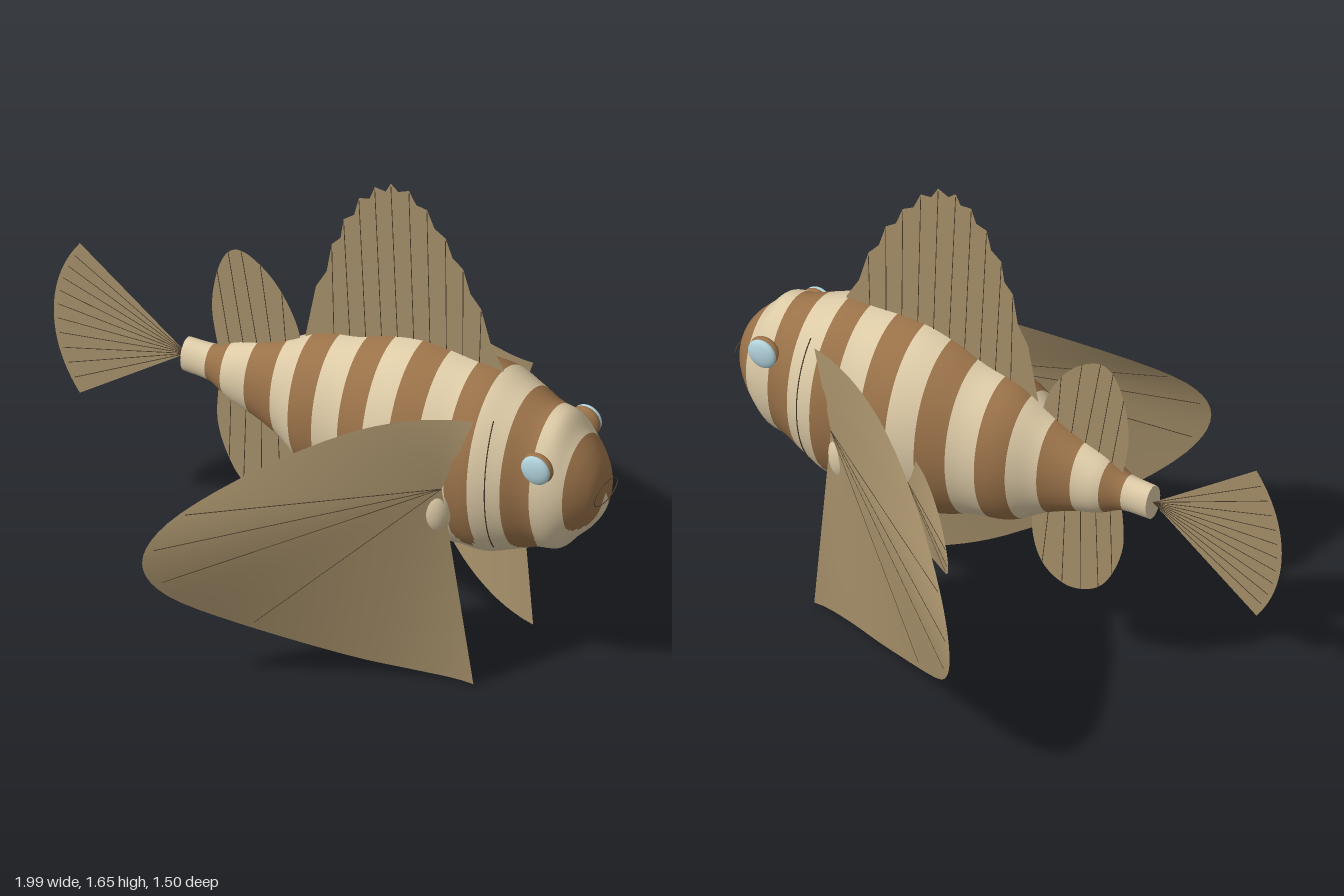
import * as THREE from 'three';

const mat = (name, color, side = THREE.FrontSide) => {
  const m = new THREE.MeshStandardMaterial({ color, side });
  m.name = name;
  return m;
};
const V = (x, y, z = 0) => new THREE.Vector3(x, y, z);
const V2 = (x, y) => new THREE.Vector2(x, y);

export function createModel() {
  const fish = new THREE.Group();
  fish.name = 'stripedFish';
  const cream = mat('cream', 0xdccaa6);
  const brown = mat('stripeBrown', 0x9a7249);
  const finMat = mat('finTan', 0xa6906a, THREE.DoubleSide);
  const dark = mat('darkLine', 0x4c3d2c);
  const blue = mat('eyeBlue', 0xb2d2dc);

  const add = (name, geo, material, parent = fish) => {
    const m = new THREE.Mesh(geo, material);
    m.name = name;
    parent.add(m);
    return m;
  };
  const group = (name, parent = fish) => {
    const g = new THREE.Group();
    g.name = name;
    parent.add(g);
    return g;
  };
  // Thin dark spine between two points
  const ray = (a, b, parent) => {
    const m = add('finRay', new THREE.CylinderGeometry(0.0014, 0.0014, a.distanceTo(b), 5), dark, parent);
    m.position.copy(a).lerp(b, 0.5);
    m.quaternion.setFromUnitVectors(V(0, 1, 0), b.clone().sub(a).normalize());
  };

  // Body: elliptical sections (x, half height, half width)
  const CY = 0.75;
  const profile = [
    [-0.52, 0.06, 0.042], [-0.42, 0.066, 0.05], [-0.34, 0.105, 0.078], [-0.25, 0.135, 0.09],
    [-0.15, 0.18, 0.115], [-0.03, 0.25, 0.17], [0.1, 0.28, 0.187], [0.2, 0.318, 0.21],
    [0.32, 0.345, 0.231], [0.42, 0.345, 0.228], [0.51, 0.337, 0.22], [0.61, 0.33, 0.224],
    [0.7, 0.295, 0.2], [0.78, 0.262, 0.172], [0.85, 0.245, 0.16], [0.9, 0.19, 0.14],
    [0.95, 0.135, 0.1], [0.98, 0.08, 0.06], [0.99, 0.001, 0.001],
  ].map(p => V(...p));
  // Stripes: start, end, and how far down the flank they reach before rounding off
  const stripes = [[-0.43, -0.36, 2], [-0.265, -0.16, 2], [-0.07, 0.03, 2], [0.13, 0.23, 2],
    [0.33, 0.43, 0.85], [0.53, 0.617, 0.79], [0.715, 0.805, 0.93], [0.91, 1.08, 0.84]];
  const inStripe = (x, up) => stripes.some(([s, e, cut]) => {
    const k = Math.max(0, (-up - cut + 0.3) / 0.3);
    return k < 1 && Math.abs(x - (s + e) / 2) < (e - s) / 2 * Math.sqrt(1 - k * k);
  });
  const rings = new THREE.CatmullRomCurve3(profile).getPoints(280);
  const SEG = 72, pos = [], faces = [[], []];
  rings.forEach((r, i) => {
    for (let j = 0; j < SEG; j++) {
      const a = j / SEG * Math.PI * 2;
      pos.push(r.x, CY + r.y * Math.cos(a), r.z * Math.sin(a));
      if (i === rings.length - 1) continue;
      const mid = (r.x + rings[i + 1].x) / 2;
      const up = Math.cos((j + 0.5) / SEG * Math.PI * 2);
      const p = i * SEG + j, q = i * SEG + (j + 1) % SEG;
      faces[inStripe(mid, up) ? 1 : 0].push(p, q, p + SEG, q, q + SEG, p + SEG);
    }
  });
  const body = new THREE.BufferGeometry();
  body.setAttribute('position', new THREE.Float32BufferAttribute(pos, 3));
  body.setIndex([...faces[0], ...faces[1]]);
  body.addGroup(0, faces[0].length, 0);
  body.addGroup(faces[0].length, faces[1].length, 1);
  body.computeVertexNormals();
  add('body', body, [cream, brown]);
  const cap = add('tailStump', new THREE.CircleGeometry(1, 32), cream);
  cap.scale.set(0.042, 0.06, 1);
  cap.rotation.y = -Math.PI / 2;
  cap.position.set(-0.52, CY, 0);

  // Mouth ring
  const mouth = add('mouth', new THREE.TorusGeometry(0.073, 0.002, 6, 40), dark);
  mouth.rotation.y = Math.PI / 2;
  mouth.scale.set(1, 0.48, 1);
  mouth.position.set(0.99, CY, 0);

  // Flat fins on the centre line
  const flatFin = (name, shape, rays) => {
    const g = group(name);
    add(name + 'Web', new THREE.ShapeGeometry(shape, 32), finMat, g);
    rays.forEach(([a, b]) => ray(a, b, g));
  };

  // Spiny dorsal fin with a notched edge
  const peaks = [[-0.055, 1.17], [0.002, 1.35], [0.045, 1.46], [0.1, 1.56], [0.157, 1.622], [0.215, 1.655],
    [0.28, 1.65], [0.345, 1.6], [0.412, 1.515], [0.475, 1.42], [0.54, 1.29], [0.622, 1.085]];
  const dorsal = [V2(-0.1, 0.93)];
  peaks.forEach(([x, y], i) => {
    dorsal.push(V2(x, y));
    const n = peaks[i + 1];
    if (n) dorsal.push(V2((x + n[0]) / 2 + (i < 5 ? 0.01 : -0.006), (y + n[1]) / 2 - 0.02));
  });
  dorsal.push(V2(0.6, 1.0), V2(0.25, 1.0));
  flatFin('dorsalFin', new THREE.Shape(dorsal), peaks.slice(1, 11).map(([x, y], i) =>
    [V(0.01 + i * 0.058, 1.0), V(x, y - 0.01)]));

  // Rounded rear dorsal and anal fins
  const leaf = (name, pts, base0, base1) => {
    const curve = new THREE.SplineCurve(pts.map(p => V2(...p)));
    const rays = [0.28, 0.4, 0.5, 0.6, 0.72].map((t, i) => {
      const e = curve.getPoint(t);
      return [base0.clone().lerp(base1, i / 4), V(e.x, e.y)];
    });
    flatFin(name, new THREE.Shape(curve.getPoints(40)), rays);
  };
  leaf('rearDorsalFin', [[-0.4, 0.78], [-0.43, 0.97], [-0.395, 1.15], [-0.325, 1.21], [-0.21, 1.14],
    [-0.125, 1.0], [-0.1, 0.86]], V(-0.36, 0.8), V(-0.16, 0.86));
  leaf('analFin', [[-0.4, 0.72], [-0.41, 0.54], [-0.365, 0.4], [-0.3, 0.32], [-0.2, 0.29],
    [-0.11, 0.34], [-0.07, 0.46], [-0.08, 0.64]], V(-0.36, 0.7), V(-0.14, 0.64));

  // Fan shaped tail
  const R = 0.48, A = 0.637;
  const onTail = (a, r) => [-0.52 + r * Math.cos(a), CY + r * Math.sin(a)];
  const tail = [V2(-0.52, CY)], tailRays = [];
  for (let i = 0; i <= 22; i++) {
    const a = Math.PI - A + 2 * A * i / 22;
    tail.push(V2(...onTail(a, R)));
    if (i % 2 === 0 && i > 0 && i < 22) tailRays.push([V(-0.52, CY), V(...onTail(a, R * 0.97))]);
  }
  flatFin('tailFin', new THREE.Shape(tail), tailRays);

  // Swept side fins: a fan from an apex to a curved rim
  const rimShape = new THREE.CatmullRomCurve3([[-1, 0], [-0.95, 0.21], [-0.86, 0.4], [-0.58, 0.71], [-0.26, 0.94],
    [0, 1], [0.26, 0.94], [0.58, 0.71], [0.86, 0.4], [0.95, 0.21], [1, 0]].map(p => V(...p)));
  const fan = (name, s, apex, o, size, rayAt) => {
    const g = group(name);
    const rim = u => {
      const p = rimShape.getPoint(u), f = Math.max(p.y, 0);
      return V(o.x - size.x * f, o.y + size.y * p.x, s * (o.z + size.z * f ** 1.5));
    };
    const tip = V(apex.x, apex.y, s * apex.z), N = 48, P = [tip.x, tip.y, tip.z], I = [];
    for (let i = 0; i <= N; i++) {
      P.push(...rim(i / N).toArray());
      if (i) s > 0 ? I.push(0, i + 1, i) : I.push(0, i, i + 1);
    }
    const geo = new THREE.BufferGeometry();
    geo.setAttribute('position', new THREE.Float32BufferAttribute(P, 3));
    geo.setIndex(I);
    geo.computeVertexNormals();
    add(name + 'Web', geo, finMat, g);
    rayAt.forEach(u => ray(tip, tip.clone().lerp(rim(u), 0.97), g));
  };

  const ellipsoid = (name, [rx, ry, rz], [x, y, z], m, parent) => {
    const b = add(name, new THREE.SphereGeometry(1, 28, 18), m, parent);
    b.scale.set(rx, ry, rz);
    b.position.set(x, y, z);
  };

  for (const s of [1, -1]) {
    const side = s > 0 ? 'near' : 'far';
    fan(side + 'PectoralFin', s, V(0.53, 0.74, 0.23), V(0.62, 0.5, 0.187), V(0.87, 0.5, 0.563),
      [0.3, 0.43, 0.53, 0.62]);
    ellipsoid('pectoralBase', [0.052, 0.09, 0.045], [0.497, 0.645, s * 0.205], cream, fish);
    fan(side + 'PelvicFin', s, V(0.27, 0.64, 0.2), V(0.31, 0.58, 0.185), V(0.36, 0.17, 0.265),
      [0.4, 0.5, 0.6]);

    // Eye: brown socket with a pale blue lens outside
    const eye = group(side + 'Eye');
    ellipsoid('eyeSocket', [0.054, 0.054, 0.024], [0.83, 0.875, s * 0.147], brown, eye);
    ellipsoid('eyeLens', [0.051, 0.051, 0.018], [0.83, 0.875, s * 0.163], blue, eye);

    // Gill line following the cheek
    const gill = [];
    for (let i = 0; i <= 12; i++) {
      const t = -0.85 + 1.7 * i / 12;
      gill.push(V(0.65 + 0.022 * Math.cos(t), CY + 0.32 * Math.sin(t), s * 0.2095 * Math.cos(t)));
    }
    add(side + 'GillLine', new THREE.TubeGeometry(new THREE.CatmullRomCurve3(gill), 30, 0.002, 6), dark);
  }
  return fish;
}
